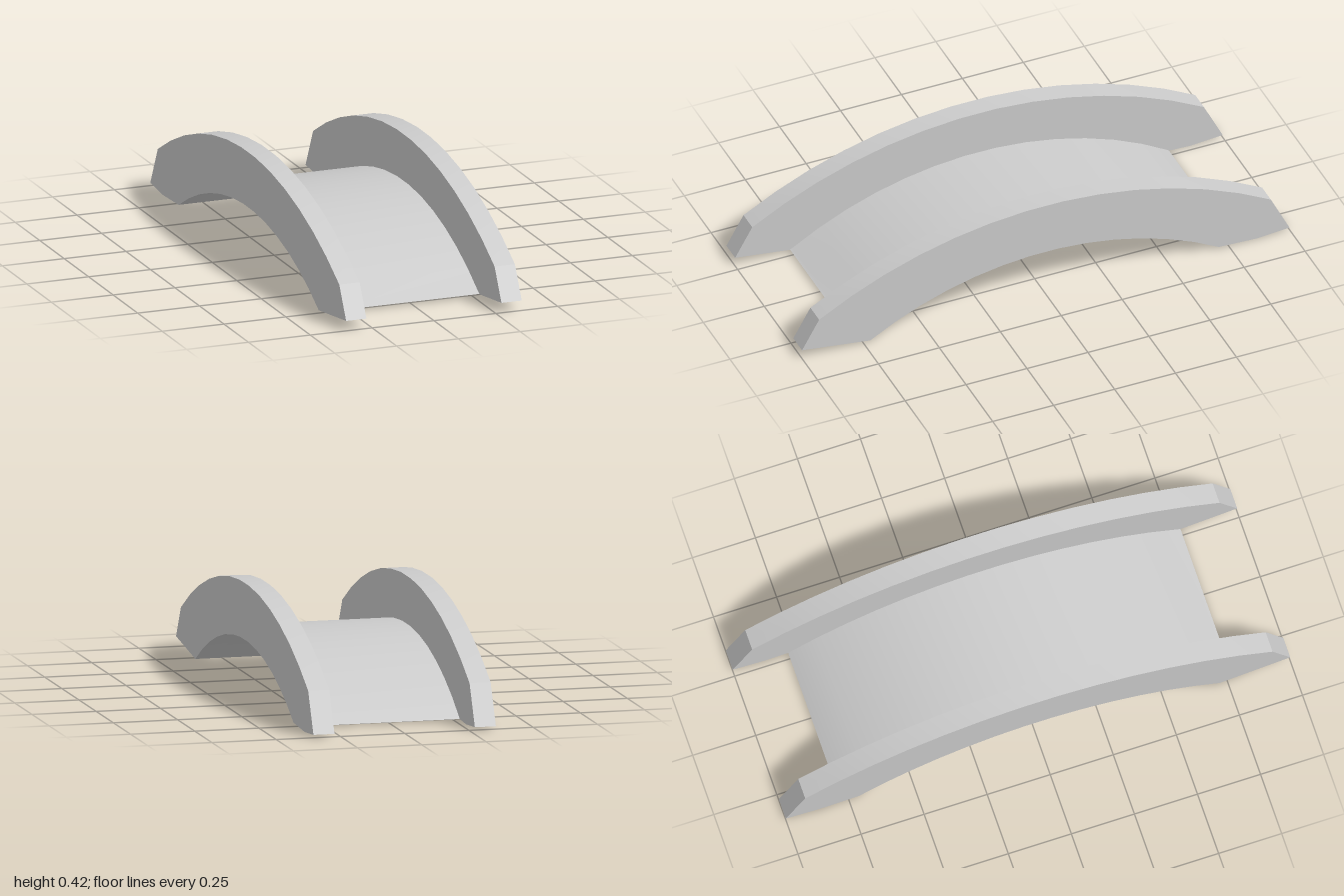
import * as THREE from 'three';
import { toCreasedNormals } from 'three/addons/utils/BufferGeometryUtils.js';

// Points (z, y) along a shallow arc through its crown, from z0 to z1
function arc(z0, z1, radius, crown, segments = 13) {
  const a0 = Math.asin(z0 / radius), a1 = Math.asin(z1 / radius);
  return Array.from({ length: segments + 1 }, (_, i) => {
    const a = a0 + (a1 - a0) * i / segments;
    return new THREE.Vector2(radius * Math.sin(a), crown - radius * (1 - Math.cos(a)));
  });
}

// Extrude a side profile across x, centred on the given x
function slab(name, points, width, x, material) {
  let geo = new THREE.ExtrudeGeometry(new THREE.Shape(points), { depth: width, bevelEnabled: false });
  geo.translate(0, 0, -width / 2).rotateY(-Math.PI / 2);
  geo = toCreasedNormals(geo, 0.35);
  const mesh = new THREE.Mesh(geo, material);
  mesh.name = name;
  mesh.position.x = x;
  return mesh;
}

export function createModel() {
  const group = new THREE.Group();
  group.name = 'archedChannel';
  const material = new THREE.MeshStandardMaterial({ color: 0xcccccc });
  const p = (z, y) => new THREE.Vector2(z, y);

  // Shared underside arc, front to back
  const underside = arc(0.72, -0.71, 1.396, 0.201);

  // Tall arched side walls with slanted ends
  const wall = [
    ...underside, p(-0.87, 0), p(-1, 0.011),
    ...arc(-0.923, 0.93, 1.817, 0.418), p(1, 0.039),
  ];
  for (const side of [1, -1])
    group.add(slab(side > 0 ? 'leftFlange' : 'rightFlange', wall, 0.082, side * 0.314, material));

  // Thin curved plate joining the walls
  const plate = [...underside, p(-0.78, 0.004), ...arc(-0.775, 0.765, 1.436, 0.235), p(0.775, 0.01)];
  group.add(slab('web', plate, 0.546, 0, material));

  return group;
}
